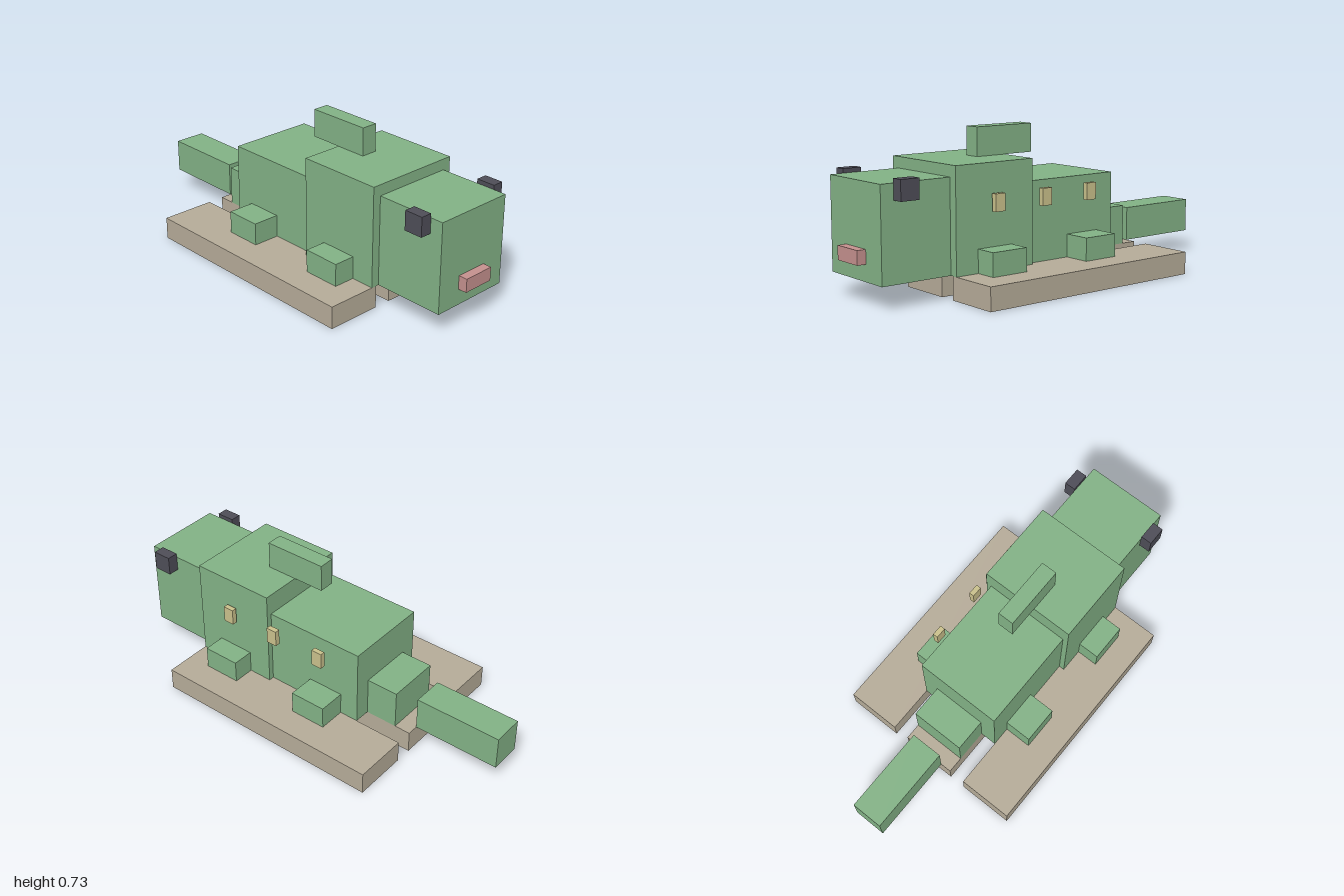
import * as THREE from 'three';

const material = (name, color) => {
  const m = new THREE.MeshStandardMaterial({ color });
  m.name = name;
  return m;
};

export function createModel() {
  const green = material('green skin', 0x82b185);
  const tan = material('tan wood', 0xb5ab98);
  const dark = material('dark eye', 0x4e4d57);
  const pink = material('pink mouth', 0xc4908d);
  const yellow = material('yellow spot', 0xc9c08b);

  const model = new THREE.Group();
  model.name = 'blockCreature';

  // Box given by its extents along each axis
  const block = (name, mat, [x0, x1], [y0, y1], [z0, z1]) => {
    const mesh = new THREE.Mesh(new THREE.BoxGeometry(x1 - x0, y1 - y0, z1 - z0), mat);
    mesh.position.set((x0 + x1) / 2, (y0 + y1) / 2, (z0 + z1) / 2);
    mesh.name = name;
    model.add(mesh);
  };
  const centred = (name, mat, x, y, half) => block(name, mat, x, y, [-half, half]);
  const pair = (name, mat, x, y, [z0, z1]) => {
    block(name + 'Front', mat, x, y, [z0, z1]);
    block(name + 'Back', mat, x, y, [-z1, -z0]);
  };

  const base = 0.108;

  // Three base planks
  centred('middlePlank', tan, [-0.57, 0.605], [0, base], 0.134);
  pair('sidePlank', tan, [-0.57, 0.605], [0, base], [0.215, 0.483]);

  // Body, from tail to head
  centred('tailTip', green, [-1, -0.57], [base, 0.272], 0.079);
  centred('tailBase', green, [-0.49, -0.33], [base, 0.298], 0.134);
  centred('hips', green, [-0.33, 0.18], [base, 0.487], 0.215);
  centred('chest', green, [0.18, 0.605], [base, 0.593], 0.242);
  centred('head', green, [0.605, 0.957], [base, 0.54], 0.201);
  centred('backFin', green, [0.02, 0.337], [0.593, 0.728], 0.04);

  // Feet
  pair('rearFoot', green, [-0.235, -0.053], [base, 0.217], [0.215, 0.348]);
  pair('foreFoot', green, [0.3, 0.487], [base, 0.217], [0.242, 0.348]);

  // Face
  pair('eye', dark, [0.8, 0.893], [0.467, 0.56], [0.201, 0.256]);
  centred('mouth', pink, [0.957, 1], [0.185, 0.25], 0.079);

  // Row of spots along the back flank
  for (const x of [-0.144, 0.124, 0.392]) {
    block('flankSpot', yellow, [x - 0.027, x + 0.027], [0.378, 0.458], [-0.281, -0.256]);
  }

  return model;
}
